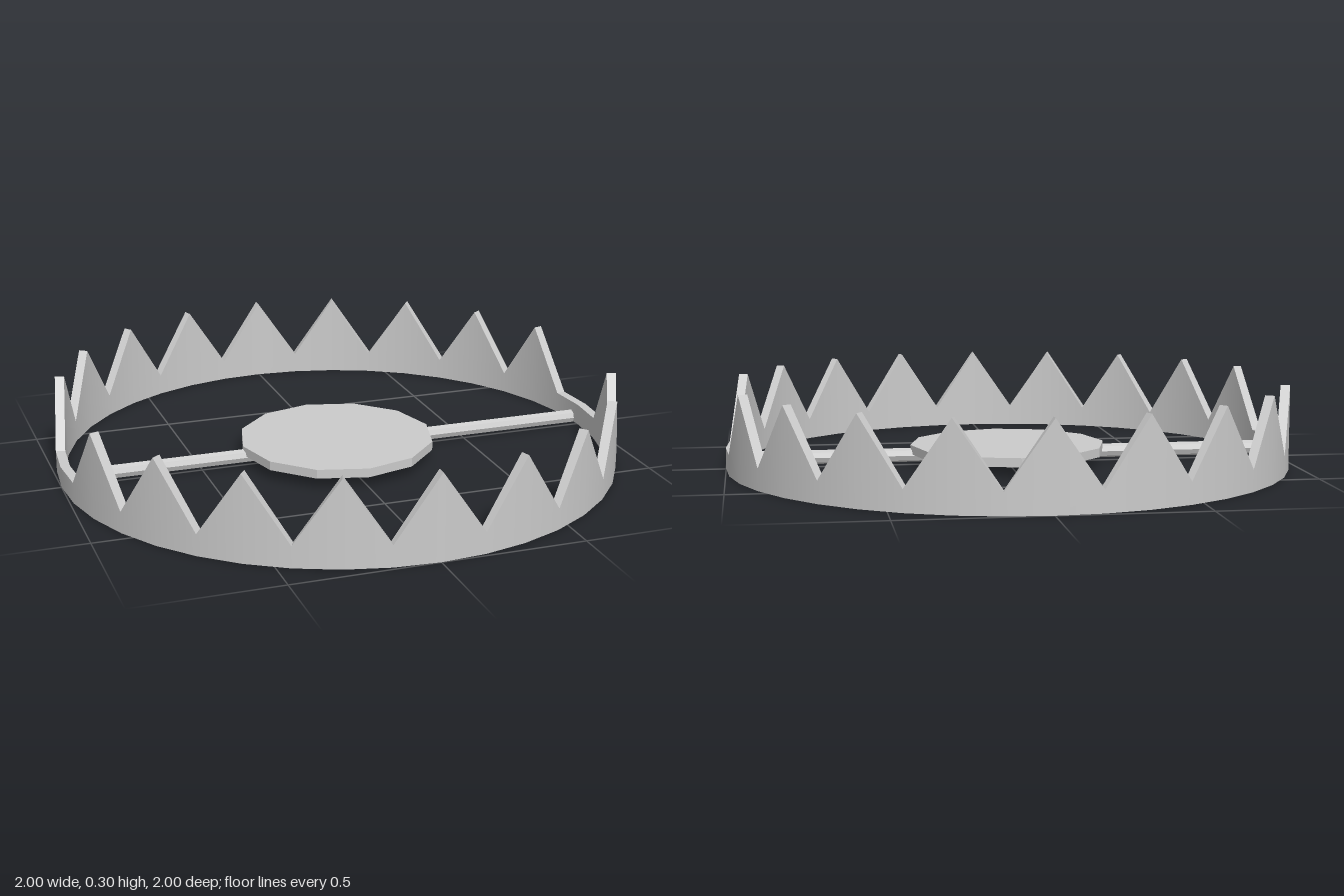
import * as THREE from 'three';

const SEGMENTS = 40, OUTER = 1, INNER = 0.967, VALLEY = 0.075, PEAK = 0.3;

// Tooth tips on even steps, valleys on odd ones, no tooth at the two hinges
function rimHeight(i) {
  const hinge = i % 20 === 10;
  return i % 2 === 0 && !hinge ? PEAK : VALLEY;
}

// Thin ring whose upper edge zigzags into teeth: smooth walls, sharp edges
function jawGeometry() {
  const positions = [], normals = [];
  const point = (i, r, y) => {
    const a = (i / SEGMENTS) * Math.PI * 2;
    return new THREE.Vector3(Math.sin(a) * r, y, Math.cos(a) * r);
  };
  // Corners run counter-clockwise; side is +1 / -1 for radial normals, 0 for flat
  const quad = (a, b, c, d, side) => {
    const flat = b.clone().sub(a).cross(c.clone().sub(a)).normalize();
    for (const v of [a, b, c, a, c, d]) {
      const n = side ? new THREE.Vector3(v.x, 0, v.z).normalize().multiplyScalar(side) : flat;
      positions.push(v.x, v.y, v.z);
      normals.push(n.x, n.y, n.z);
    }
  };
  for (let i = 0; i < SEGMENTS; i++) {
    const j = i + 1, hi = rimHeight(i), hj = rimHeight(j);
    const o0 = point(i, OUTER, 0), o1 = point(j, OUTER, 0);
    const n0 = point(i, INNER, 0), n1 = point(j, INNER, 0);
    const O0 = point(i, OUTER, hi), O1 = point(j, OUTER, hj);
    const N0 = point(i, INNER, hi), N1 = point(j, INNER, hj);
    quad(o0, o1, O1, O0, 1); // outer wall
    quad(n1, n0, N0, N1, -1); // inner wall
    quad(O0, O1, N1, N0, 0); // upper edge
    quad(n0, n1, o1, o0, 0); // underside
  }
  const geometry = new THREE.BufferGeometry();
  geometry.setAttribute('position', new THREE.Float32BufferAttribute(positions, 3));
  geometry.setAttribute('normal', new THREE.Float32BufferAttribute(normals, 3));
  return geometry;
}

export function createModel() {
  const group = new THREE.Group();
  const smooth = new THREE.MeshStandardMaterial({ color: 0xcccccc });
  const faceted = new THREE.MeshStandardMaterial({ color: 0xcccccc, flatShading: true });

  const add = (name, geometry, material, y) => {
    const mesh = new THREE.Mesh(geometry, material);
    mesh.name = name;
    mesh.position.y = y;
    group.add(mesh);
  };

  add('toothedRing', jawGeometry(), smooth, 0);

  // Twelve-sided pressure plate resting over the rod
  add('pressurePlate', new THREE.CylinderGeometry(0.35, 0.35, 0.032, 12), faceted, 0.055);

  // Cross rod along x
  const rod = new THREE.CylinderGeometry(0.025, 0.025, 1.88, 8).rotateZ(Math.PI / 2);
  add('crossRod', rod, faceted, 0.035);

  return group;
}
